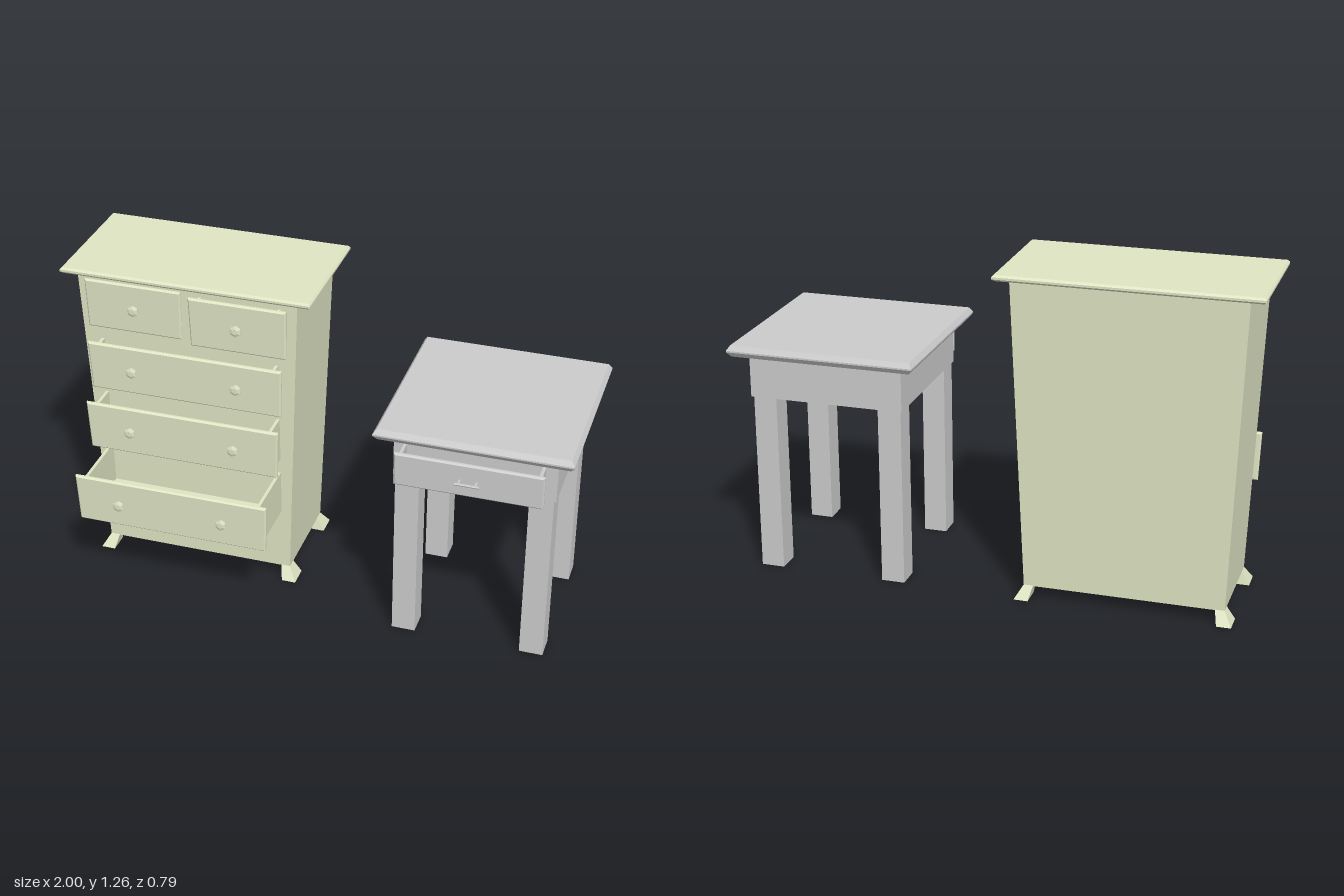
import * as THREE from 'three';

const olive = new THREE.MeshStandardMaterial({ color: 0xe0e5c4, flatShading: true });
const grey = new THREE.MeshStandardMaterial({ color: 0xcccccc, flatShading: true });

// Solid through stacked rectangles: each ring is [y, x0, x1, z0, z1]
function loft(rings) {
  const pos = [], idx = [];
  for (const [y, x0, x1, z0, z1] of rings) pos.push(x0, y, z1, x1, y, z1, x1, y, z0, x0, y, z0);
  for (let r = 0; r < rings.length - 1; r++) {
    for (let i = 0; i < 4; i++) {
      const a = r * 4 + i, b = r * 4 + (i + 1) % 4;
      idx.push(a, b, b + 4, a, b + 4, a + 4);
    }
  }
  const t = (rings.length - 1) * 4;
  idx.push(0, 2, 1, 0, 3, 2, t, t + 1, t + 2, t, t + 2, t + 3);
  const g = new THREE.BufferGeometry();
  g.setAttribute('position', new THREE.Float32BufferAttribute(pos, 3));
  g.setIndex(idx);
  const flat = g.toNonIndexed();
  flat.computeVertexNormals();
  return flat;
}

function add(parent, name, geometry, material) {
  const m = new THREE.Mesh(geometry, material);
  m.name = name;
  parent.add(m);
  return m;
}

function block(parent, name, material, x0, x1, y0, y1, z0, z1) {
  return add(parent, name, loft([[y0, x0, x1, z0, z1], [y1, x0, x1, z0, z1]]), material);
}

// Open drawer: bevelled front plate plus sides and floor running back to zBack
function makeDrawer(name, material, { x0, x1, y0, y1, z, zBack, inset = 0.028, lean = 0, flare = 0 }) {
  const g = new THREE.Group();
  g.name = name;
  const b = 0.006, cx = (x0 + x1) / 2, cy = (y0 + y1) / 2;
  const plate = loft([
    [z - 0.018, x0 + b, x1 - b, -y1 + b, -y0 - b],
    [z - 0.013, x0, x1, -y1, -y0],
    [z - 0.006, x0, x1, -y1, -y0],
    [z, x0 + b, x1 - b, -y1 + b, -y0 - b],
  ]).rotateX(Math.PI / 2);
  // lean with the cabinet face and widen slightly upwards
  const p = plate.attributes.position;
  for (let i = 0; i < p.count; i++) {
    const dy = p.getY(i) - cy;
    p.setX(i, cx + (p.getX(i) - cx) * (1 + flare * dy));
    p.setZ(i, p.getZ(i) + lean * dy);
  }
  plate.computeVertexNormals();
  add(g, 'drawerFront', plate, material);

  const zf = z - 0.014, w = 0.012, a = x0 + inset, c = x1 - inset, lo = y0 + 0.01, hi = y1 - 0.01;
  block(g, 'drawerFloor', material, a, c, lo, lo + w, zBack, zf);
  block(g, 'drawerSideRight', material, a, a + w, lo, hi, zBack, zf);
  block(g, 'drawerSideLeft', material, c - w, c, lo, hi, zBack, zf);
  return g;
}

// Six-sided knob turned around z
const knobGeometry = new THREE.LatheGeometry(
  [[0.014, -0.004], [0.014, 0.003], [0.008, 0.005], [0.008, 0.011], [0.023, 0.013], [0.023, 0.017], [0.012, 0.021], [0, 0.021]]
    .map(([r, h]) => new THREE.Vector2(r, h)), 6).rotateX(Math.PI / 2);

function makeDresser() {
  const g = new THREE.Group();
  g.name = 'dresser';
  const cx = -0.512, cz = -0.114;

  add(g, 'cabinetBody', loft([
    [0.05, -0.893, -0.131, -0.31, 0.082],
    [1.242, -0.942, -0.082, -0.335, 0.106],
  ]), olive);

  add(g, 'dresserTop', loft([
    [1.24, -0.99, -0.035, -0.355, 0.128],
    [1.248, -1.0, -0.025, -0.365, 0.136],
    [1.256, -1.0, -0.025, -0.365, 0.136],
    [1.264, -0.993, -0.032, -0.358, 0.129],
  ]), olive);

  // Splayed feet, mirrored to the four corners
  for (const sx of [-1, 1]) for (const sz of [-1, 1]) {
    const span = (c, s, inner, outer) => [c + s * inner, c + s * outer].sort((a, b) => a - b);
    add(g, 'dresserFoot', loft([
      [0, ...span(cx, sx, 0.357, 0.412), ...span(cz, sz, 0.145, 0.228)],
      [0.052, ...span(cx, sx, 0.345, 0.381), ...span(cz, sz, 0.155, 0.196)],
    ]), olive);
  }

  // Drawers pulled out by growing amounts: [x0, x1, y0, y1, front z, knob x positions]
  const L = -0.72, R = -0.305;
  const drawers = [
    ['topRightDrawer', -0.912, -0.535, 1.02, 1.22, 0.113, [L]],
    ['topLeftDrawer', -0.491, -0.115, 1.02, 1.22, 0.143, [R]],
    ['upperDrawer', -0.893, -0.132, 0.782, 0.98, 0.161, [L, R]],
    ['middleDrawer', -0.893, -0.132, 0.545, 0.745, 0.212, [L, R]],
    ['lowerDrawer', -0.893, -0.132, 0.305, 0.503, 0.358, [L, R]],
  ];
  for (const [name, x0, x1, y0, y1, z, knobs] of drawers) {
    const d = makeDrawer(name, olive, { x0, x1, y0, y1, z, zBack: 0.07, lean: 0.03, flare: 0.1 });
    for (const x of knobs) add(d, 'knob', knobGeometry, olive).position.set(x, (y0 + y1) / 2, z);
    g.add(d);
  }
  return g;
}

function makeTable() {
  const g = new THREE.Group();
  g.name = 'sideTable';

  add(g, 'tableTop', loft([
    [0.867, 0.285, 0.985, -0.38, 0.32],
    [0.886, 0.27, 1.0, -0.393, 0.334],
    [0.892, 0.27, 1.0, -0.393, 0.334],
    [0.911, 0.283, 0.987, -0.381, 0.321],
  ]), grey);
  block(g, 'apron', grey, 0.334, 0.935, 0.697, 0.87, -0.331, 0.273);

  for (const x of [0.34, 0.836]) for (const z of [-0.325, 0.173]) {
    block(g, 'tableLeg', grey, x, x + 0.09, 0, 0.7, z, z + 0.094);
  }

  const d = makeDrawer('tableDrawer', grey,
    { x0: 0.357, x1: 0.905, y0: 0.714, y1: 0.846, z: 0.362, zBack: 0.265, inset: 0.014 });
  // Bar handle on two posts
  for (const x of [0.602, 0.664]) block(d, 'handlePost', grey, x - 0.004, x + 0.004, 0.775, 0.783, 0.358, 0.388);
  add(d, 'handleBar', new THREE.CylinderGeometry(0.005, 0.005, 0.09, 6).rotateZ(Math.PI / 2), grey)
    .position.set(0.633, 0.779, 0.388);
  g.add(d);
  return g;
}

export function createModel() {
  const model = new THREE.Group();
  model.name = 'bedroomFurniture';
  model.add(makeDresser(), makeTable());
  return model;
}
